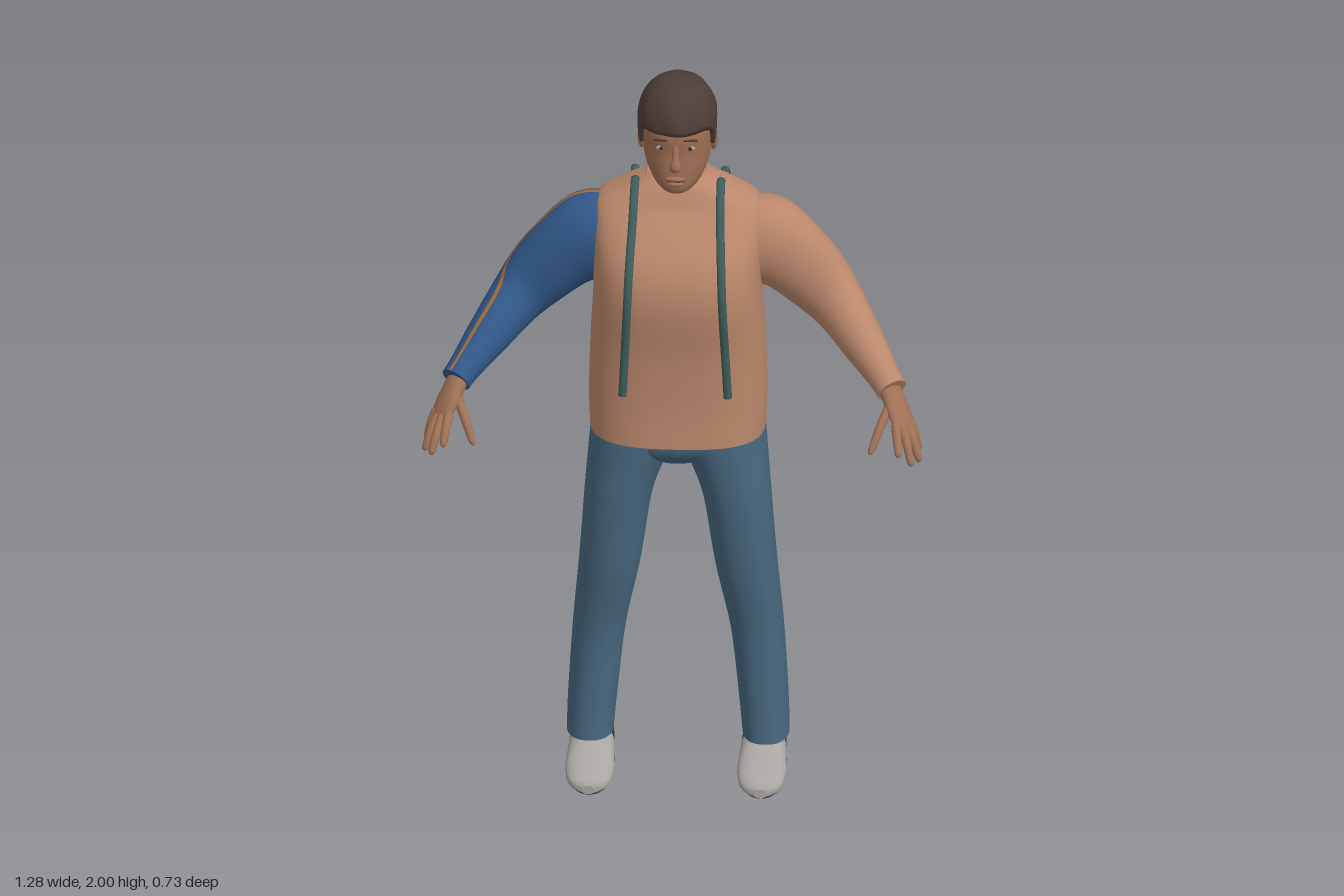
import * as THREE from 'three';
import { RoundedBoxGeometry } from 'three/addons/geometries/RoundedBoxGeometry.js';

const V = (x, y, z) => new THREE.Vector3(x, y, z);
const mat = (name, color) => Object.assign(new THREE.MeshStandardMaterial({ color }), { name });

// Smoothly resample rows of numbers (Catmull-Rom on every column)
function spline(rows, per = 5) {
  const out = [], last = rows.length - 1;
  for (let i = 0; i < last; i++) {
    const [a, b, c, d] = [rows[Math.max(i - 1, 0)], rows[i], rows[i + 1], rows[Math.min(i + 2, last)]];
    for (let k = 0; k < per; k++) {
      const t = k / per;
      out.push(b.map((p, j) => {
        const m0 = (c[j] - a[j]) / 2, m1 = (d[j] - p) / 2, e = c[j] - p;
        return p + m0 * t + (3 * e - 2 * m0 - m1) * t * t + (m0 + m1 - 2 * e) * t * t * t;
      }));
    }
  }
  out.push(rows[last]);
  return out;
}

// Superellipse ring; u x v points along the direction of travel
function ring(c, u, v, n = 2, segs = 32) {
  const pw = (a) => Math.sign(a) * Math.abs(a) ** (2 / n);
  return Array.from({ length: segs }, (_, j) => {
    const a = (j / segs) * Math.PI * 2;
    return c.clone().addScaledVector(u, pw(Math.cos(a))).addScaledVector(v, pw(Math.sin(a)));
  });
}

// Surface through rings with flat end caps; one column may take a second material
function loft(rings, stripe = -1) {
  const pos = [], main = [], band = [], segs = rings[0].length;
  rings.forEach((r) => r.forEach((p) => pos.push(p.x, p.y, p.z)));
  for (let i = 0; i < rings.length - 1; i++) {
    for (let j = 0; j < segs; j++) {
      const a = i * segs + j, b = i * segs + ((j + 1) % segs), c = a + segs, d = b + segs;
      (j === stripe ? band : main).push(a, b, c, b, d, c);
    }
  }
  [[rings[0], true], [rings[rings.length - 1], false]].forEach(([r, flip]) => {
    const base = pos.length / 3, mid = V(0, 0, 0);
    r.forEach((p) => { mid.addScaledVector(p, 1 / segs); pos.push(p.x, p.y, p.z); });
    pos.push(mid.x, mid.y, mid.z);
    for (let j = 0; j < segs; j++) {
      const a = base + j, b = base + ((j + 1) % segs);
      main.push(...(flip ? [b, a, base + segs] : [a, b, base + segs]));
    }
  });
  const g = new THREE.BufferGeometry();
  g.setAttribute('position', new THREE.Float32BufferAttribute(pos, 3));
  g.setIndex([...main, ...band]);
  if (band.length) {
    g.addGroup(0, main.length, 0);
    g.addGroup(main.length, band.length, 1);
  }
  g.computeVertexNormals();
  return g;
}

// Upright form from rows [y, halfWidth, zFront, zBack, centreX]
const tower = (rows, n = 2.3, per = 5) => loft(spline(rows, per).map(([y, w, f, b, x = 0]) =>
  ring(V(x, y, (f + b) / 2), V(0, 0, (f - b) / 2), V(w, 0, 0), n, 40)));

// Limb from rows [x, y, z, radiusAlongHint, radiusAcross]
function limb(rows, hint = V(0, 1, 0), segs = 32, stripe = -1) {
  const r = spline(rows), pt = (i) => V(...r[Math.min(Math.max(i, 0), r.length - 1)].slice(0, 3));
  return loft(r.map((q, i) => {
    const t = pt(i + 1).sub(pt(i - 1)).normalize();
    const v = hint.clone().addScaledVector(t, -hint.dot(t)).normalize();
    const u = v.clone().cross(t);
    return ring(pt(i), u.multiplyScalar(q[4]), v.multiplyScalar(q[3]), 2, segs);
  }), stripe);
}

// Hair cap whose lower edge follows the fringe, sideburns, ears and nape
function hairGeometry() {
  const edge = [[0, 1.895], [48, 1.895], [66, 1.88], [74, 1.825], [86, 1.83], [92, 1.865], [108, 1.86], [125, 1.79], [180, 1.765]];
  const bottom = (deg) => {
    const k = edge.findIndex((e, i) => i && deg <= e[0]), [a, b] = [edge[k - 1], edge[k]];
    return THREE.MathUtils.mapLinear(deg, a[0], b[0], a[1], b[1]);
  };
  const segs = 64, steps = 14, rings = [];
  for (let i = -1; i <= steps; i++) {
    const f = 1 - Math.max(i, 0) / steps;
    rings.push(Array.from({ length: segs }, (_, j) => {
      const a = (j / segs) * Math.PI * 2, deg = Math.min(j, segs - j) * 360 / segs;
      const y = 2 - (2 - bottom(deg)) * (1 - Math.cos(f * Math.PI / 2));
      const h = (y - 1.885) / 0.115;
      let r = h > 0 ? Math.max(0, 1 - h ** 2.3) ** (1 / 2.3) : 1 - 0.22 * h * h;
      r *= (i < 0 ? 0.85 : 1) * (1 + 0.012 * Math.sin(a * 7 + y * 40));
      return V(0.102 * r * Math.sin(a), y, 0.006 + 0.127 * r * Math.cos(a));
    }));
  }
  return loft(rings);
}

export function createModel() {
  const model = new THREE.Group();
  model.name = 'hikerWithBackpack';
  const shirt = mat('shirtTan', 0xba876b), skin = mat('skin', 0xa07055), hair = mat('hairBrown', 0x4e3d37);
  const sleeve = mat('sleeveBlue', 0x315788), orange = mat('stripeOrange', 0xa96c3c), denim = mat('denim', 0x48677f);
  const green = mat('bagGreen', 0x3f5d5b), pocketBlue = mat('pocketBlue', 0x456788);
  const pale = mat('paleGrey', 0xa9a5a2), dark = mat('darkGrey', 0x373638);
  const add = (name, geo, material, x = 0, y = 0, z = 0) => {
    const m = new THREE.Mesh(geo, material);
    m.name = name;
    m.position.set(x, y, z);
    model.add(m);
    return m;
  };
  const ball = (name, material, p, s) => add(name, new THREE.SphereGeometry(1, 20, 14), material, ...p).scale.set(...s);

  // Shirt body and collar
  add('shirtBody', tower([[0.995, 0.225, 0.145, -0.195], [1.1, 0.228, 0.14, -0.187], [1.25, 0.224, 0.145, -0.18],
    [1.4, 0.216, 0.163, -0.18], [1.5, 0.217, 0.145, -0.18], [1.58, 0.22, 0.092, -0.167], [1.63, 0.207, 0.052, -0.148],
    [1.665, 0.15, 0.035, -0.132], [1.69, 0.1, 0.022, -0.118], [1.705, 0.075, 0.005, -0.108]], 2.8), shirt);
  const collar = add('collar', new THREE.TorusGeometry(0.078, 0.008, 10, 40), shirt, 0, 1.697, -0.045);
  collar.rotation.x = Math.PI / 2 + 0.2;
  collar.scale.y = 0.88;

  // Hips
  add('hips', tower([[0.915, 0.08, 0.07, -0.1], [0.96, 0.2, 0.113, -0.155], [1.04, 0.21, 0.118, -0.175]]), denim);

  // Head and face
  add('head', tower([[1.65, 0.062, 0.01, -0.105], [1.695, 0.06, 0.02, -0.1], [1.712, 0.045, 0.095, -0.092],
    [1.735, 0.062, 0.115, -0.088], [1.78, 0.081, 0.116, -0.092], [1.83, 0.089, 0.114, -0.1],
    [1.88, 0.09, 0.117, -0.105], [1.93, 0.085, 0.1, -0.1], [1.97, 0.05, 0.06, -0.06]], 2.2), skin);
  add('nose', limb([[0, 1.862, 0.108, 0.009, 0.009], [0, 1.83, 0.117, 0.01, 0.009], [0, 1.803, 0.125, 0.014, 0.015],
    [0, 1.793, 0.12, 0.007, 0.012]], V(0, 0, 1), 16), skin);
  ball('upperLip', skin, [0, 1.764, 0.113], [0.026, 0.007, 0.011]);
  ball('lowerLip', skin, [0, 1.75, 0.113], [0.022, 0.007, 0.011]);
  ball('mouthLine', hair, [0, 1.757, 0.116], [0.025, 0.0018, 0.004]);
  add('hair', hairGeometry(), hair);

  for (const s of [1, -1]) {
    const side = s > 0 ? 'left' : 'right';
    ball(side + 'Ear', skin, [s * 0.092, 1.825, -0.005], [0.011, 0.033, 0.02]);
    ball(side + 'EyeWhite', pale, [s * 0.037, 1.85, 0.107], [0.014, 0.006, 0.004]);
    ball(side + 'Iris', dark, [s * 0.037, 1.85, 0.1095], [0.0055, 0.0055, 0.003]);
    const brow = add(side + 'Brow', new THREE.CapsuleGeometry(0.0035, 0.03, 4, 8), hair, s * 0.038, 1.873, 0.109);
    brow.rotation.set(0, s * 0.3, Math.PI / 2 - s * 0.12);

    // Sleeve, striped on the right arm
    const arm = [[0.14, 1.535, -0.045, 0.09, 0.08], [0.215, 1.515, -0.045, 0.123, 0.092], [0.3, 1.462, -0.037, 0.103, 0.079],
      [0.4, 1.358, -0.018, 0.082, 0.068], [0.48, 1.285, 0.085, 0.06, 0.055], [0.535, 1.235, 0.165, 0.044, 0.042],
      [0.558, 1.212, 0.198, 0.04, 0.04]].map(([x, ...r]) => [s * x, ...r]);
    if (s > 0) add('leftSleeve', limb(arm), shirt);
    else add('rightSleeve', limb(arm, V(0, 1, 0), 32, 8), [sleeve, orange]);

    // Palm, fingers and thumb
    const across = V(-s * 0.55, 0.15, 0.8);
    add(side + 'Palm', limb([[s * 0.545, 1.225, 0.18, 0.03, 0.026], [s * 0.565, 1.19, 0.212, 0.035, 0.023],
      [s * 0.582, 1.16, 0.238, 0.04, 0.018], [s * 0.596, 1.136, 0.258, 0.036, 0.012]], across, 20), skin);
    const fingers = [[0.573, 1.15, 0.278, 0.583, 1.105, 0.362], [0.59, 1.142, 0.27, 0.615, 1.07, 0.342],
      [0.602, 1.138, 0.252, 0.634, 1.06, 0.3], [0.606, 1.143, 0.232, 0.631, 1.068, 0.25],
      [0.557, 1.188, 0.225, 0.507, 1.088, 0.318]];
    fingers.forEach(([x, y, z, X, Y, Z], i) => add(side + (i === 4 ? 'Thumb' : 'Finger' + (i + 1)), limb([
      [s * x, y, z, 0.013, 0.013], [s * (x + X) / 2, (y + Y) / 2 + 0.007, (z + Z) / 2 + 0.004, 0.0115, 0.0115],
      [s * (X * 0.9 + x * 0.1), Y * 0.9 + y * 0.1, Z * 0.9 + z * 0.1, 0.009, 0.009],
      [s * X, Y, Z, 0.003, 0.003]], across, 12), skin));

    // Trouser leg
    add(side + 'Leg', tower([[0.1, 0.06, 0.06, -0.11, 0.225], [0.2, 0.063, 0.055, -0.115, 0.219], [0.4, 0.068, 0.057, -0.13, 0.202],
      [0.6, 0.079, 0.088, -0.125, 0.174], [0.8, 0.087, 0.108, -0.122, 0.152], [0.9, 0.1, 0.113, -0.145, 0.131],
      [0.97, 0.112, 0.117, -0.168, 0.113], [1.04, 0.108, 0.117, -0.175, 0.109]].map((r) => [...r.slice(0, 4), s * r[4]])), denim);

    // Shoe: rows of [z, halfWidth, top]
    const shoe = (rows) => loft(spline(rows).map(([z, w, t]) =>
      ring(V(s * 0.22, t / 2 + 0.006, z), V(w, 0, 0), V(0, t / 2 - 0.006, 0), 2.4)));
    add(side + 'ShoeHeel', shoe([[-0.11, 0.03, 0.08], [-0.095, 0.05, 0.1], [-0.04, 0.056, 0.112], [0, 0.058, 0.113]]), dark);
    add(side + 'ShoeUpper', shoe([[0, 0.058, 0.113], [0.05, 0.06, 0.102], [0.1, 0.063, 0.078], [0.15, 0.056, 0.058],
      [0.175, 0.04, 0.047], [0.186, 0.016, 0.036]]), pale);
    add(side + 'ShoeSole', tower([[0, 0.05, 0.165, -0.1, s * 0.22], [0.008, 0.058, 0.177, -0.109, s * 0.22],
      [0.02, 0.06, 0.18, -0.11, s * 0.22]], 2.3, 2), dark);

    // Backpack straps, down the chest and from shoulder to bag
    const strap = (name, pts) => add(name, limb(pts.map(([x, y, z]) => [s * x, y, z, 0.011, 0.009]), V(1, 0, 0), 14), green);
    strap(side + 'FrontStrap', [[0.11, 1.675, -0.045], [0.11, 1.69, -0.01], [0.111, 1.652, 0.044], [0.113, 1.6, 0.081],
      [0.118, 1.51, 0.14], [0.122, 1.41, 0.16], [0.128, 1.28, 0.145], [0.135, 1.145, 0.137]]);
    strap(side + 'BackStrap', [[0.115, 1.645, -0.1], [0.115, 1.665, -0.13], [0.118, 1.62, -0.165], [0.12, 1.54, -0.2],
      [0.121, 1.445, -0.24]]);
  }

  // Backpack
  add('backpackBody', new RoundedBoxGeometry(0.3, 0.35, 0.157, 6, 0.045), green, 0, 1.285, -0.268);
  add('backpackPocket', new RoundedBoxGeometry(0.236, 0.148, 0.04, 4, 0.014), pocketBlue, 0, 1.228, -0.344);
  add('pocketZip', new THREE.BoxGeometry(0.2, 0.006, 0.008), dark, 0, 1.287, -0.366);
  const handle = new THREE.CatmullRomCurve3([V(-0.047, 1.45, -0.267), V(-0.042, 1.485, -0.267), V(0, 1.491, -0.267),
    V(0.042, 1.485, -0.267), V(0.047, 1.45, -0.267)]);
  add('backpackHandle', new THREE.TubeGeometry(handle, 24, 0.006, 8), dark);
  return model;
}
